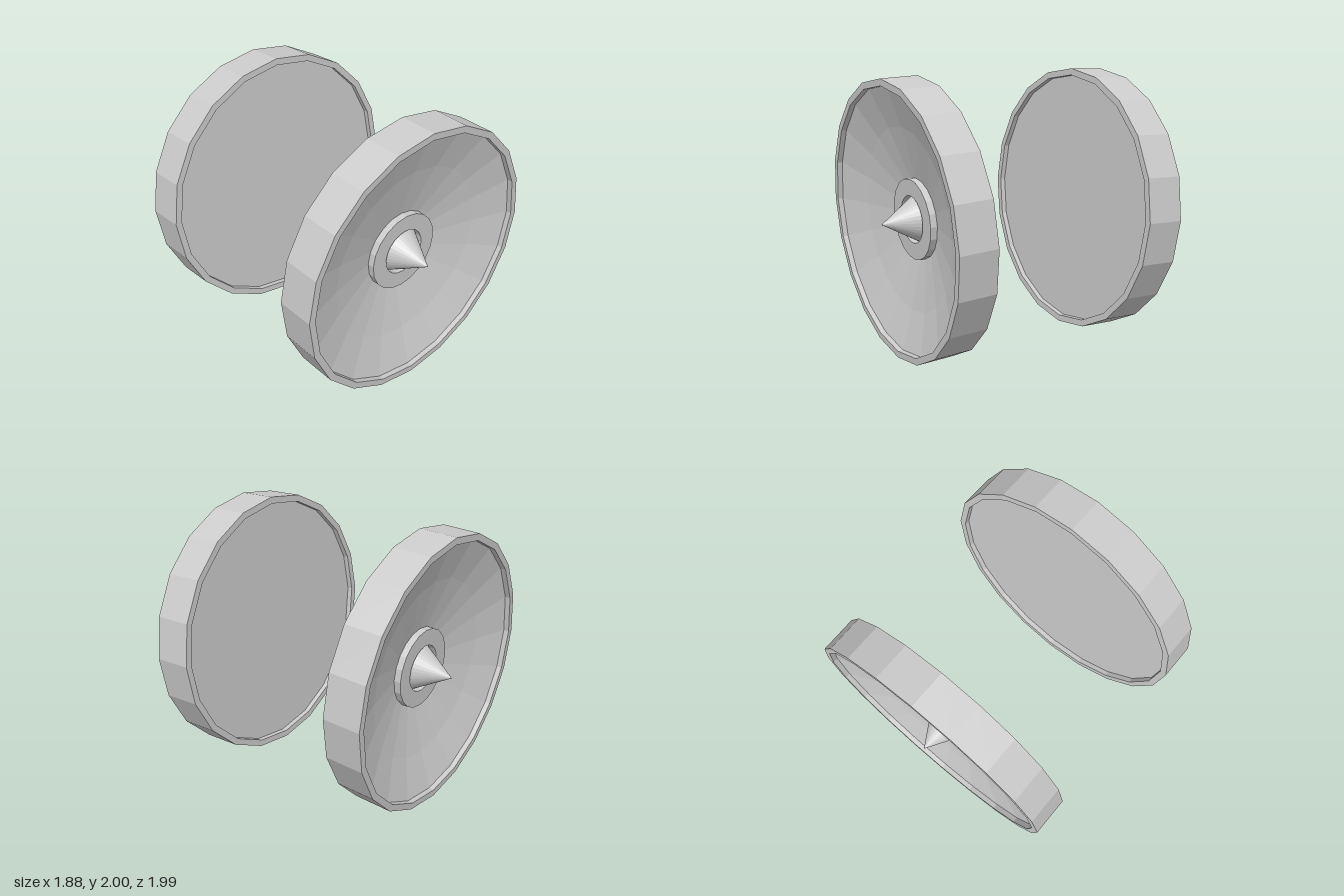
import * as THREE from 'three';

const SIDES = 20;
const CAMBER = 0.04;
const material = new THREE.MeshStandardMaterial({ color: 0xcccccc, flatShading: true });

// Revolves [radius, height] pairs about the local y axis
function lathe(name, pairs) {
  const points = pairs.map(([r, y]) => new THREE.Vector2(r, y));
  const mesh = new THREE.Mesh(new THREE.LatheGeometry(points, SIDES), material);
  mesh.name = name;
  return mesh;
}

// One wheel, local +y pointing outwards along the axle
function createWheel(name) {
  const wheel = new THREE.Group();
  wheel.name = name;

  // Tyre with recessed flat back and dished front
  wheel.add(lathe('dishedTyre', [
    [0, -0.10], [0.945, -0.10], [0.945, -0.14], [0.994, -0.14],
    [0.994, 0.14], [0.945, 0.14], [0.945, 0.10],
    [0.66, 0.01], [0.29, -0.08], [0, -0.08],
  ]));

  // Raised collar around the spike
  wheel.add(lathe('hubRing', [
    [0.29, -0.08], [0.29, -0.03], [0.17, -0.03], [0.17, -0.08],
  ]));

  // Pointed hub spike
  const spike = new THREE.Mesh(new THREE.ConeGeometry(0.17, 0.28, 32), material);
  spike.name = 'hubSpike';
  spike.position.y = 0.06;
  wheel.add(spike);
  return wheel;
}

export function createModel() {
  const model = new THREE.Group();
  model.name = 'wheelPair';
  // Mirrored pair, tops leaning outwards
  for (const side of [1, -1]) {
    const wheel = createWheel(side > 0 ? 'leftWheel' : 'rightWheel');
    wheel.position.set(side * 0.7425, 1, 0);
    wheel.rotation.z = -side * (Math.PI / 2 + CAMBER);
    model.add(wheel);
  }
  return model;
}
